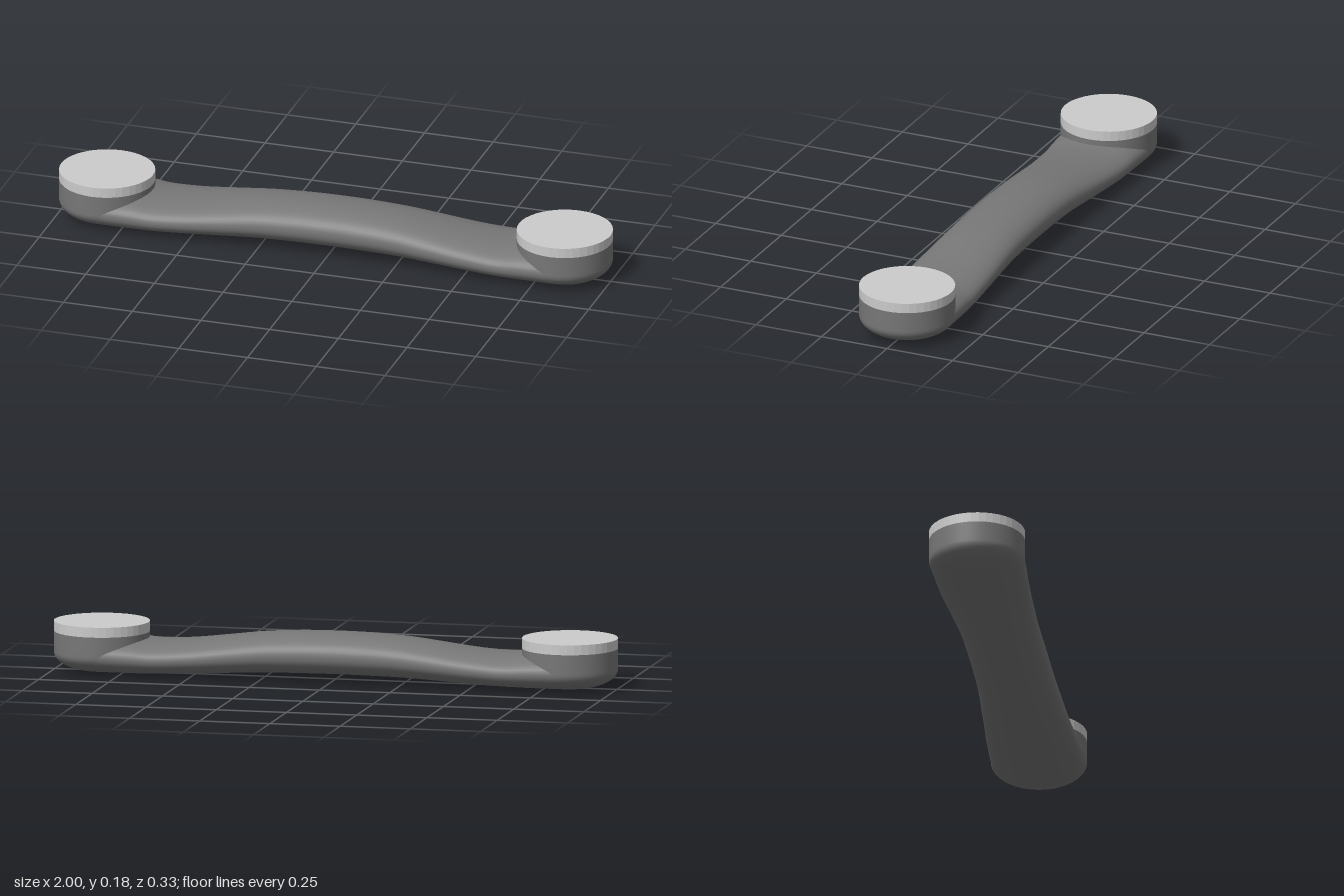
import * as THREE from 'three';

const END_X = 0.833, RADIUS = 0.167, POWER = 2 / 2.2;
const power = (v) => Math.sign(v) * Math.abs(v) ** POWER;

// Grip lofted along x from rounded sections: [x, bottom, top, half width]
function gripGeometry() {
  const half = [
    [0.12, 0.02, 0.164, 0.135], [0.25, 0.018, 0.156, 0.137], [0.38, 0.012, 0.14, 0.143],
    [0.5, 0.006, 0.125, 0.149], [0.6, 0.002, 0.118, 0.155], [0.65, 0.001, 0.119, 0.157],
    [0.7, 0, 0.125, 0.16], [0.77, 0, 0.13, 0.163], [0.833, 0, 0.135, 0.166],
  ];
  const stations = [
    ...half.map(([x, ...rest]) => [-x, ...rest]).reverse(),
    [0, 0.021, 0.166, 0.135],
    ...half,
  ];
  const spline = (pick) => new THREE.CatmullRomCurve3(
    stations.map((s) => new THREE.Vector3(...pick(s))), false, 'catmullrom');
  const heights = spline(([x, b, t]) => [x, b, t]);
  const widths = spline(([x, , , w]) => [x, w, 0]);

  const rows = 72, sides = 48, positions = [], index = [];
  for (let i = 0; i <= rows; i++) {
    const { x, y: bottom, z: top } = heights.getPoint(i / rows);
    const width = widths.getPoint(i / rows).y;
    for (let j = 0; j < sides; j++) {
      const a = (j / sides) * Math.PI * 2;
      positions.push(x, (top + bottom) / 2 + power(Math.sin(a)) * (top - bottom) / 2,
        power(Math.cos(a)) * width);
      if (i === rows) continue;
      const p = i * sides + j, q = i * sides + (j + 1) % sides;
      index.push(p, p + sides, q, q, p + sides, q + sides);
    }
  }
  const geometry = new THREE.BufferGeometry();
  geometry.setAttribute('position', new THREE.Float32BufferAttribute(positions, 3));
  geometry.setIndex(index);
  geometry.computeVertexNormals();
  return geometry;
}

// Round-bottomed cup with straight upper walls
function cupGeometry() {
  const profile = [];
  for (let i = 0; i <= 16; i++) {
    const a = (i / 16) * Math.PI / 2;
    profile.push(new THREE.Vector2(RADIUS * power(Math.sin(a)), 0.07 - 0.07 * power(Math.cos(a))));
  }
  profile.push(new THREE.Vector2(RADIUS, 0.105), new THREE.Vector2(RADIUS, 0.14));
  return new THREE.LatheGeometry(profile, 64);
}

export function createModel() {
  const group = new THREE.Group();
  group.name = 'handle';
  const dark = new THREE.MeshStandardMaterial({ color: 0x777777, side: THREE.DoubleSide });
  const light = new THREE.MeshStandardMaterial({ color: 0xcccccc, flatShading: true });
  const add = (name, geometry, material, x = 0, y = 0) => {
    const mesh = new THREE.Mesh(geometry, material);
    mesh.name = name;
    mesh.position.set(x, y, 0);
    group.add(mesh);
  };

  add('grip', gripGeometry(), dark);

  // Matching cup and flat cap at each end
  const cup = cupGeometry();
  const cap = new THREE.CylinderGeometry(RADIUS, RADIUS, 0.035, 40);
  for (const [side, sign] of [['left', 1], ['right', -1]]) {
    add(`${side}Cup`, cup, dark, sign * END_X);
    add(`${side}Cap`, cap, light, sign * END_X, 0.1575);
  }
  return group;
}
